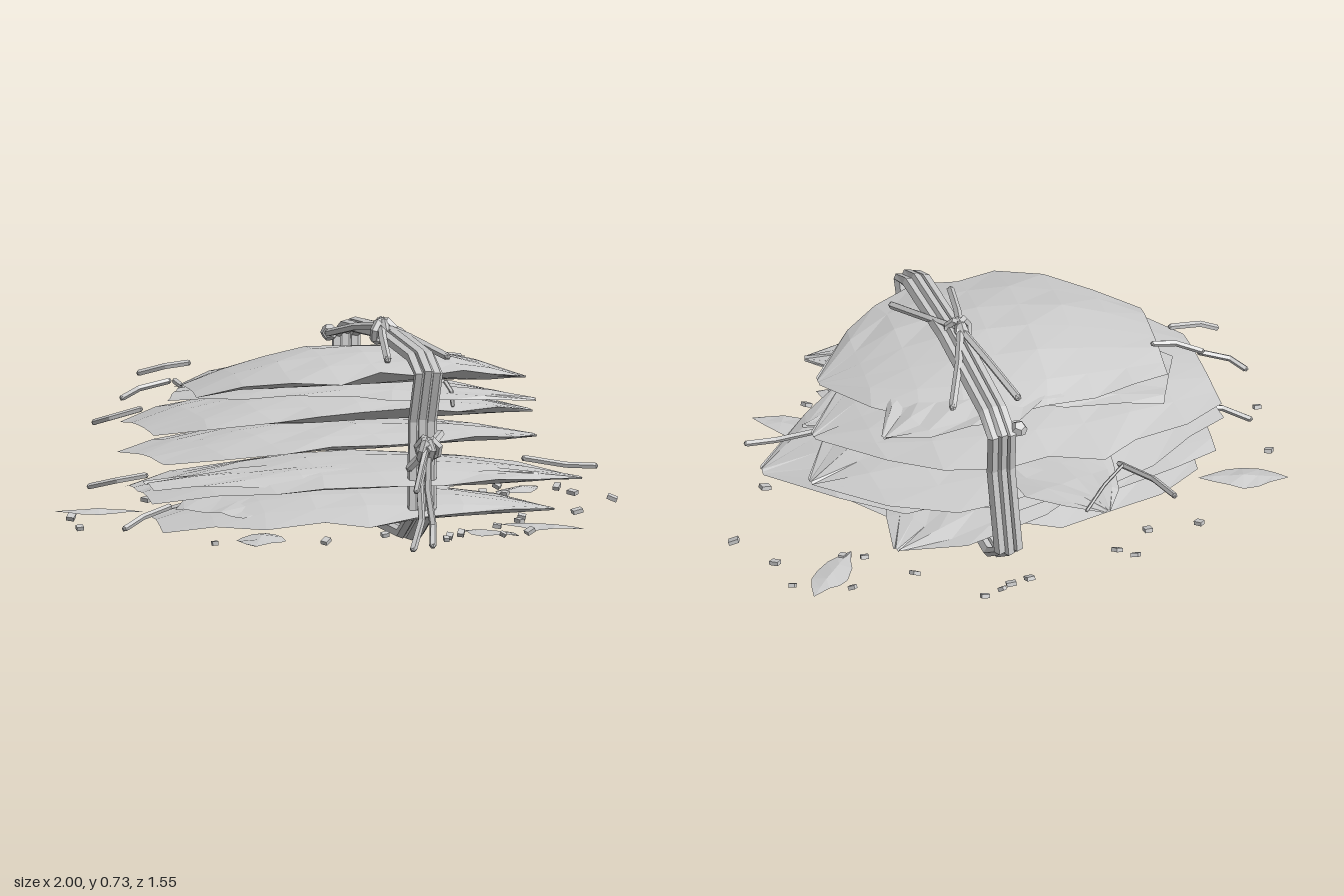
import * as THREE from 'three';

const grey = new THREE.MeshStandardMaterial({ color: 0xcccccc, flatShading: true, side: THREE.DoubleSide });
grey.name = 'dry leaf grey';

function seeded(seed) {
  let s = seed * 7919 + 13;
  return () => (s = (s * 16807) % 2147483647) / 2147483647;
}

function add(parent, name, geometry) {
  const mesh = new THREE.Mesh(geometry, grey);
  mesh.name = name;
  parent.add(mesh);
  return mesh;
}

// Tube with one ring at each path point, so the bends stay angular
function strand(points, radius, sides = 5, closed = false) {
  const curve = new THREE.CatmullRomCurve3(points.map(p => new THREE.Vector3(...p)), closed, 'catmullrom', 0.5);
  curve.getPointAt = curve.getPoint;
  curve.getTangentAt = curve.getTangent;
  return new THREE.TubeGeometry(curve, closed ? points.length : points.length - 1, radius, sides, closed);
}

// Round strand with closed ends
function twig(parent, name, points, radius) {
  add(parent, name, strand(points, radius));
  for (const p of [points[0], points[points.length - 1]]) {
    add(parent, name + 'End', new THREE.IcosahedronGeometry(radius * 0.95, 0)).position.set(...p);
  }
}

const BROAD = [0.5, 0.74, 0.9, 1, 1, 0.93, 0.8, 0.52, 0.05];
const SLIM = [0.02, 0.5, 0.88, 1, 0.8, 0.42, 0.02];

// Arched leaf sheet running from base to tip, given as [x, z].
// The underside shares the outline but its middle lies flat.
function leafGeometry({ base, tip, half, y, arch, droop, tilt = 0, seed = 1, rough = 0, profile = BROAD, rows = 6 }, underside = false) {
  const rnd = seeded(seed), cols = profile.length - 1;
  const geo = new THREE.PlaneGeometry(1, 1, cols, rows).rotateX(-Math.PI / 2);
  const pos = geo.attributes.position;
  const dx = tip[0] - base[0], dz = tip[1] - base[1], len = Math.hypot(dx, dz);
  for (let i = 0; i < pos.count; i++) {
    const col = Math.round((pos.getX(i) + 0.5) * cols);
    const u = col / cols, v = pos.getZ(i) * 2, edge = Math.abs(v) > 0.99;
    const w = profile[col] * (1 + (edge ? (rnd() - 0.6) * rough : 0));
    const a = u * len + (edge && col > 0 && col < cols ? (rnd() - 0.5) * rough * 0.25 : 0);
    const b = v * w * half;
    const x = base[0] + (dx * a - dz * b) / len, z = base[1] + (dz * a + dx * b) / len;
    const s = 2 * u - 1, rise = arch * (1 - s * s);
    const bend = underside ? (rise - droop * w * w) * v * v : rise - droop * (v * w) ** 2;
    pos.setXYZ(i, x, y + bend + tilt * z + (rnd() - 0.5) * rough * 0.05, z);
  }
  geo.computeVertexNormals();
  return geo;
}

function createModel() {
  const model = new THREE.Group();
  model.name = 'tiedLeafBundle';

  // Stacked large leaves, bottom to top
  const stack = new THREE.Group();
  stack.name = 'leafStack';
  model.add(stack);
  [
    { base: [-0.70, 0.06], tip: [0.67, 0.28], half: 0.49, y: 0.075, arch: 0.095, droop: 0.075, tilt: 0.02 },
    { base: [-0.74, 0.02], tip: [0.80, 0.18], half: 0.48, y: 0.165, arch: 0.10, droop: 0.05, tilt: 0.02 },
    { base: [-0.73, 0.03], tip: [0.72, -0.10], half: 0.47, y: 0.285, arch: 0.09, droop: 0.05, tilt: 0.04 },
    { base: [-0.73, -0.02], tip: [0.67, 0.02], half: 0.46, y: 0.385, arch: 0.11, droop: 0.05, tilt: 0.03 },
    { base: [-0.57, 0.02], tip: [0.61, 0.14], half: 0.41, y: 0.515, arch: 0.125, droop: 0.07, tilt: 0.04 },
  ].forEach((o, i) => {
    const leaf = { seed: i + 3, rough: 0.2, ...o };
    add(stack, 'largeLeafTop', leafGeometry(leaf));
    add(stack, 'largeLeafUnderside', leafGeometry(leaf, true));
  });

  // Turned leaves tucked between the layers
  [
    { base: [-0.57, 0.28], tip: [0.50, -0.36], half: 0.33, y: 0.12, arch: 0.05, droop: 0.03 },
    { base: [-0.76, 0.20], tip: [0.60, 0.33], half: 0.19, y: 0.21, arch: 0.05, droop: 0.03 },
    { base: [0.02, 0.10], tip: [-0.15, -0.69], half: 0.23, y: 0.345, arch: 0.03, droop: 0.03 },
    { base: [-0.55, -0.18], tip: [0.58, 0.36], half: 0.28, y: 0.47, arch: 0.06, droop: 0.03 },
    { base: [-0.40, 0.12], tip: [0.52, -0.28], half: 0.27, y: 0.54, arch: 0.05, droop: 0.03 },
  ].forEach((o, i) => add(stack, 'tuckedLeaf', leafGeometry({ seed: i + 21, rough: 0.3, ...o })));

  // Leaf stalks
  [
    [[-0.68, 0.545, -0.16], [-0.60, 0.57, -0.12], [-0.52, 0.58, -0.11]],
    [[-0.80, 0.49, 0.03], [-0.74, 0.52, 0.03], [-0.63, 0.54, 0.02]],
    [[-0.86, 0.39, -0.10], [-0.82, 0.41, -0.05], [-0.72, 0.44, -0.02]],
    [[-0.88, 0.17, -0.09], [-0.80, 0.195, -0.03], [-0.70, 0.21, -0.02]],
    [[-0.84, 0.06, 0.19], [-0.76, 0.09, 0.14], [-0.64, 0.11, 0.06]],
    [[-0.36, 0.42, -0.78], [-0.34, 0.39, -0.62], [-0.28, 0.35, -0.44]],
    [[0.82, 0.22, 0.28], [0.72, 0.225, 0.26], [0.58, 0.25, 0.23]],
  ].forEach(p => twig(stack, 'stalk', p, 0.011));
  twig(stack, 'thinStalk', [[-0.08, 0.35, -0.67], [-0.18, 0.37, -0.57], [-0.29, 0.36, -0.46]], 0.006);
  twig(stack, 'hangingStalk', [[0.27, 0.54, 0.32], [0.285, 0.51, 0.34], [0.29, 0.46, 0.34]], 0.008);

  // Cord loop: parallel strands around the stack, as [z, y]
  const cord = new THREE.Group();
  cord.name = 'cord';
  model.add(cord);
  const loop = [[0.53, 0.60], [0.43, 0.645], [0.04, 0.675], [-0.40, 0.645], [-0.49, 0.60],
    [-0.455, 0.44], [-0.49, 0.125], [-0.36, 0.035], [0.40, 0.035], [0.53, 0.12], [0.485, 0.43]];
  [-0.032, 0, 0.032].forEach((off, i) => {
    const lift = i === 1 ? 0.008 : 0;
    add(cord, 'cordStrand', strand(loop.map(([z, y]) =>
      [0.142 + off + (y - 0.35) * 0.05 - z * 0.02, y + (y > 0.35 ? lift : -lift), z * (1 + lift)]), 0.02, 5, true));
  });

  // Wrapped knots
  function knot(name, x, y, z, rx, ry) {
    const g = new THREE.Group();
    g.name = name;
    [[0, 0], [0.8, 0.012], [-0.8, -0.012]].forEach(([turn, shift]) => {
      const ring = add(g, 'knotLoop', new THREE.TorusGeometry(0.037, 0.015, 5, 7));
      ring.rotation.set(0.3, Math.PI / 2 + turn, turn);
      ring.position.x = shift;
    });
    g.position.set(x, y, z);
    g.rotation.set(rx, ry, 0);
    cord.add(g);
  }
  knot('topKnot', 0.13, 0.685, 0.04, 0, 0);
  knot('frontKnot', 0.125, 0.345, 0.56, 0.2, 0.4);

  // Loose cord ends at the top knot
  [[0.05, -0.33], [0.28, -0.31], [0.05, 0.36], [0.27, 0.34]].forEach(([x, z]) =>
    twig(cord, 'topCordEnd', [[0.13, 0.70, 0.03], [0.13 + (x - 0.13) * 0.45, 0.675, z * 0.45], [x, 0.63, z]], 0.014));

  // Loose cord ends at the front knot
  twig(cord, 'frontCordEnd', [[0.12, 0.34, 0.58], [0.09, 0.23, 0.60], [0.085, 0.11, 0.64], [0.04, 0.02, 0.69]], 0.013);
  twig(cord, 'frontCordEnd', [[0.13, 0.33, 0.58], [0.12, 0.21, 0.60], [0.13, 0.09, 0.63], [0.11, 0.03, 0.69]], 0.013);
  twig(cord, 'shortCordEnd', [[0.12, 0.36, 0.59], [0.09, 0.30, 0.63], [0.06, 0.215, 0.66]], 0.011);
  twig(cord, 'crossedCord', [[0.07, 0.28, 0.55], [0.12, 0.35, 0.60], [0.19, 0.39, 0.52]], 0.015);
  add(cord, 'backKnot', new THREE.DodecahedronGeometry(0.03)).position.set(0.10, 0.61, -0.48);

  // Small fallen leaves
  const litter = new THREE.Group();
  litter.name = 'litter';
  model.add(litter);
  [
    [[-0.94, -0.31], [-0.65, -0.21], 0.06], [[0.83, -0.44], [0.62, -0.23], 0.06],
    [[-0.53, 0.71], [-0.40, 0.40], 0.085], [[0.26, 0.55], [0.41, 0.72], 0.06],
    [[0.43, 0.43], [0.67, 0.64], 0.065],
  ].forEach(([base, tip, half], i) => add(litter, 'fallenLeaf',
    leafGeometry({ base, tip, half, y: 0.055, arch: 0.012, droop: 0.014, seed: i + 40, rough: 0.08, profile: SLIM, rows: 2 })));

  // Crumbs, as [x, z]
  const rnd = seeded(5);
  [
    [-0.98, 0.12], [-0.93, -0.14], [-0.56, -0.47], [-0.38, -0.45], [-0.29, -0.58], [-0.24, -0.53], [0.10, -0.59],
    [0.17, -0.60], [0.21, -0.62], [0.28, -0.64], [0.46, -0.43], [0.69, -0.44], [0.88, -0.36], [0.89, -0.21],
    [0.98, -0.04], [0.66, -0.25], [0.59, -0.28], [-0.65, 0.62], [-0.27, 0.68], [-0.03, 0.59], [0.14, 0.75],
    [0.17, 0.69], [0.23, 0.63], [0.36, 0.70], [0.47, 0.65], [0.40, 0.50], [0.51, 0.40], [0.55, 0.30], [0.77, 0.23],
  ].forEach(([x, z]) => {
    const size = 0.02 + rnd() * 0.016;
    const crumb = add(litter, 'crumb', new THREE.BoxGeometry(size, 0.014, size * 0.8));
    crumb.position.set(x, 0.06, z);
    crumb.rotation.set(rnd() * 0.4, rnd() * 3, rnd() * 0.4);
  });

  return model;
}

export { createModel };
